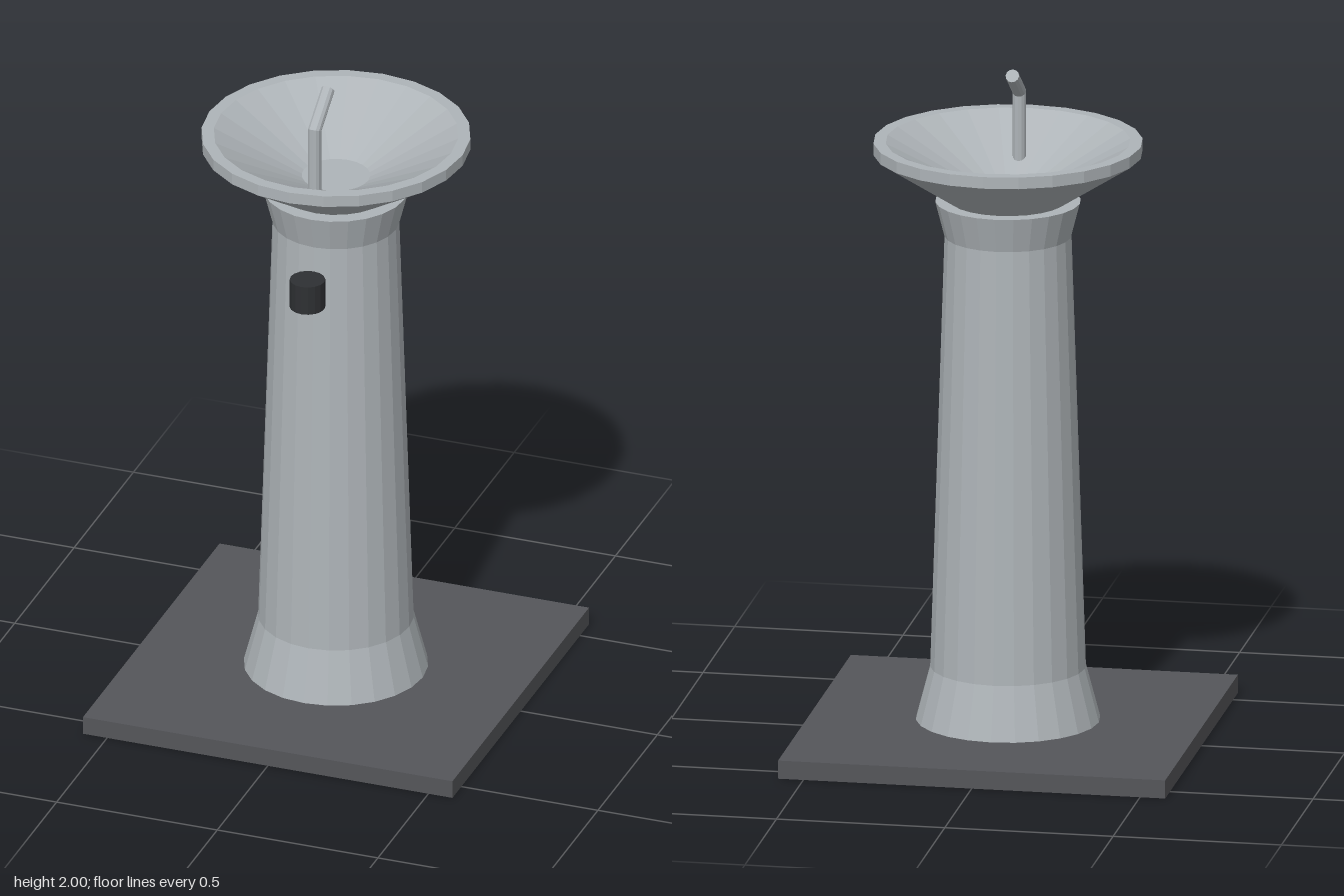
import * as THREE from 'three';

const SIDES = 24;

function material(color) {
  return new THREE.MeshStandardMaterial({ color, flatShading: true });
}

function addMesh(group, name, geometry, mat) {
  const mesh = new THREE.Mesh(geometry, mat);
  mesh.name = name;
  group.add(mesh);
  return mesh;
}

function lathe(points) {
  return new THREE.LatheGeometry(points.map(([r, y]) => new THREE.Vector2(r, y)), SIDES);
}

// Pipe standing on y = 0; one end is sheared along z to form a mitre.
function mitredPipe(radius, length, slope, mitreTop) {
  const geometry = new THREE.CylinderGeometry(radius, radius, length, 12);
  geometry.translate(0, length / 2, 0);
  const pos = geometry.attributes.position;
  for (let i = 0; i < pos.count; i++) {
    const isTop = pos.getY(i) > length / 2;
    if (isTop === mitreTop) pos.setY(i, pos.getY(i) + pos.getZ(i) * slope);
  }
  geometry.computeVertexNormals();
  return geometry;
}

export function createModel() {
  const model = new THREE.Group();
  model.name = 'drinkingFountain';
  const metal = material(0xaeb4b8);
  const slab = material(0x55565a);
  const dark = material(0x2e3033);

  // Ground slab
  const base = addMesh(model, 'basePlate', new THREE.BoxGeometry(1.15, 0.055, 1.15), slab);
  base.position.y = 0.0275;

  // Tapered pedestal with flared foot and collar
  addMesh(model, 'pedestal', lathe([
    [0, 0.05], [0.27, 0.055], [0.228, 0.215], [0.186, 1.52], [0.213, 1.625], [0, 1.625],
  ]), metal);

  // Bowl: underside, rim, sloping basin and flat floor
  addMesh(model, 'bowl', lathe([
    [0, 1.622], [0.165, 1.622], [0.394, 1.77], [0.394, 1.805],
    [0.358, 1.805], [0.1, 1.667], [0, 1.667],
  ]), metal);

  // Spout: riser and angled nozzle meeting in a mitre
  const spout = new THREE.Group();
  spout.name = 'spout';
  spout.position.set(0, 1.67, 0.18);
  model.add(spout);
  const radius = 0.02, riserHeight = 0.235, bend = THREE.MathUtils.degToRad(55);
  const slope = Math.tan(bend / 2);
  addMesh(spout, 'riser', mitredPipe(radius, riserHeight, slope, true), metal);
  const nozzle = addMesh(spout, 'nozzle', mitredPipe(radius, 0.137, -slope, false), metal);
  nozzle.position.y = riserHeight;
  nozzle.rotation.x = -bend;

  // Push button on the front of the pedestal
  const button = addMesh(model, 'pushButton', new THREE.CylinderGeometry(0.052, 0.052, 0.09, 16), dark);
  button.position.set(0, 1.397, 0.24);

  return model;
}
